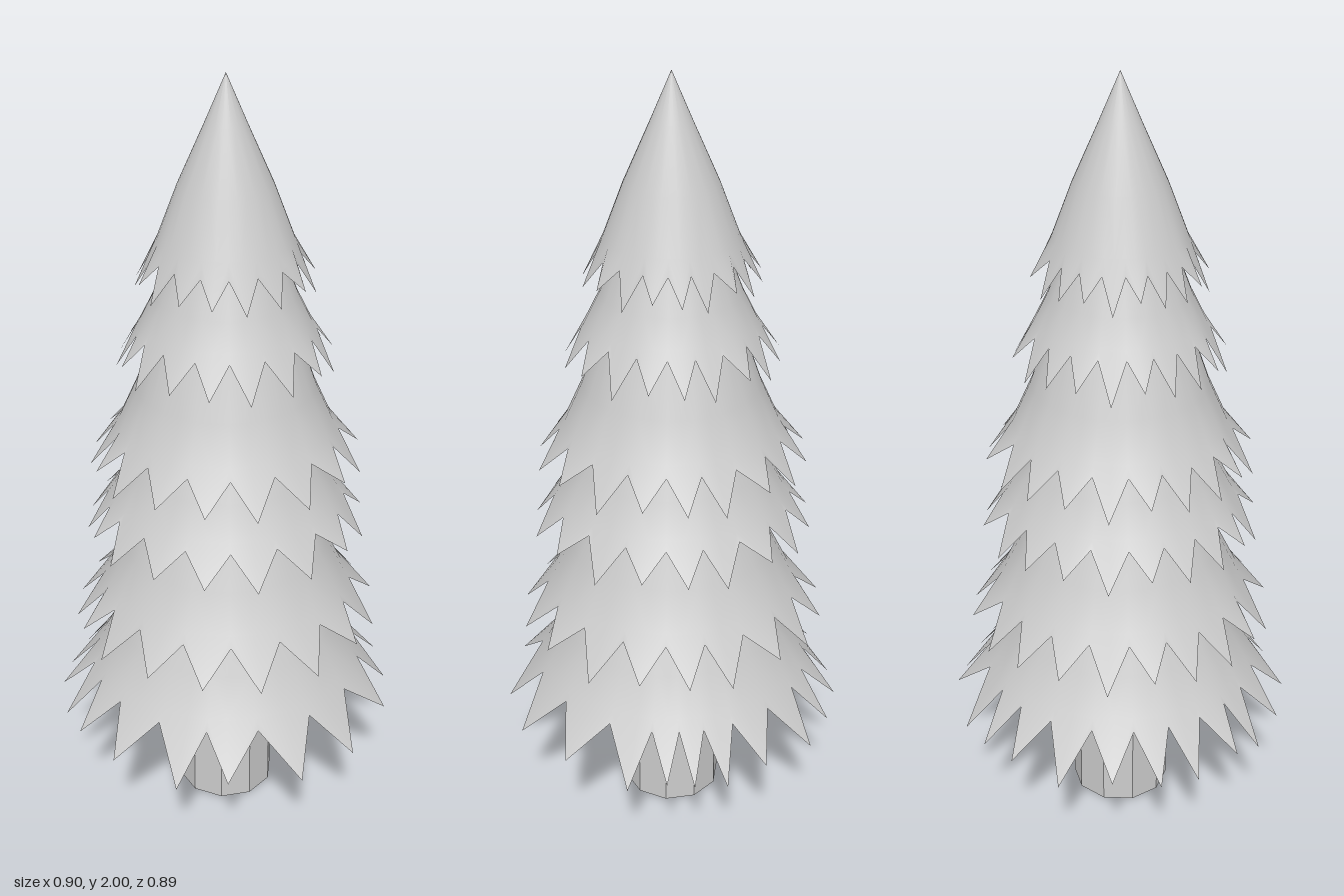
import * as THREE from 'three';

// Angles of the needle tips in degrees, measured from +z towards +x
const LOWEST_TIPS = [13, 35, 60, 83, 96, 105, 116, 130, 152, 166, 180, 198, 216, 232, 245, 261, 273, 288, 307, 331, 348];
const UPPER_TIPS = [0, 23, 45, 66, 86, 104, 120, 141, 160, 178, 196, 214, 231, 247, 264, 279, 294, 318, 339];

// Each tier: profile of [radius, height] from top to hem, then the reach of its tips
const TIERS = [
  { name: 'crown', profile: [[0, 2], [0.05, 1.885], [0.115, 1.74], [0.165, 1.61], [0.18, 1.57]], tip: [0.22, 1.505] },
  { name: 'secondTier', profile: [[0.06, 1.75], [0.125, 1.6], [0.175, 1.47], [0.21, 1.4], [0.222, 1.38]], tip: [0.27, 1.30] },
  { name: 'thirdTier', profile: [[0.08, 1.6], [0.165, 1.4], [0.225, 1.23], [0.27, 1.13], [0.285, 1.105]], tip: [0.345, 1.03] },
  { name: 'fourthTier', profile: [[0.1, 1.35], [0.19, 1.16], [0.245, 1.02], [0.29, 0.935], [0.305, 0.915]], tip: [0.36, 0.84] },
  { name: 'fifthTier', profile: [[0.12, 1.15], [0.2, 0.94], [0.265, 0.78], [0.315, 0.68], [0.33, 0.655]], tip: [0.4, 0.57] },
  { name: 'lowestTier', profile: [[0.12, 0.92], [0.225, 0.69], [0.29, 0.54], [0.345, 0.44], [0.362, 0.415]], tip: [0.45, 0.305] },
];

// Open skirt whose last ring alternates between notches and tips
function skirtGeometry(profile, tip, tips) {
  const columns = [];
  tips.forEach((angle, i) => {
    const next = i + 1 < tips.length ? tips[i + 1] : tips[0] + 360;
    const drop = 0.018 * Math.sin(i * 2.4 + 0.5);
    columns.push({ angle, end: [tip[0], tip[1] - drop] });
    columns.push({ angle: (angle + next) / 2, end: profile[profile.length - 1] });
  });

  const positions = [], index = [];
  const n = columns.length, rings = profile.length;
  for (let r = 0; r < rings; r++) {
    for (const { angle, end } of columns) {
      const [radius, y] = r === rings - 1 ? end : profile[r];
      const a = THREE.MathUtils.degToRad(angle);
      positions.push(radius * Math.sin(a), y, radius * Math.cos(a));
    }
  }
  for (let r = 0; r < rings - 1; r++) {
    for (let c = 0; c < n; c++) {
      const d = (c + 1) % n;
      const a = r * n + c, b = r * n + d, e = a + n, f = b + n;
      // split towards the tip so both sides of a tooth match
      if (c % 2 === 0) index.push(a, e, b, b, e, f);
      else index.push(a, e, f, a, f, b);
    }
  }
  const geometry = new THREE.BufferGeometry();
  geometry.setAttribute('position', new THREE.Float32BufferAttribute(positions, 3));
  geometry.setIndex(index);
  geometry.computeVertexNormals();
  return geometry;
}

export function createModel() {
  const tree = new THREE.Group();
  tree.name = 'firTree';

  // Ten-sided trunk
  const trunk = new THREE.Mesh(
    new THREE.CylinderGeometry(0.13, 0.131, 0.75, 10),
    new THREE.MeshStandardMaterial({ color: 0xcccccc, flatShading: true })
  );
  trunk.name = 'trunk';
  trunk.position.y = 0.375;
  trunk.rotation.y = Math.PI / 10;
  tree.add(trunk);

  // Overlapping jagged skirts of needles
  const foliage = new THREE.Group();
  foliage.name = 'foliage';
  const needles = new THREE.MeshStandardMaterial({ color: 0xcccccc, side: THREE.DoubleSide });
  for (const { name, profile, tip } of TIERS) {
    const tips = name === 'lowestTier' ? LOWEST_TIPS : UPPER_TIPS;
    const skirt = new THREE.Mesh(skirtGeometry(profile, tip, tips), needles);
    skirt.name = name;
    foliage.add(skirt);
  }
  tree.add(foliage);
  return tree;
}
